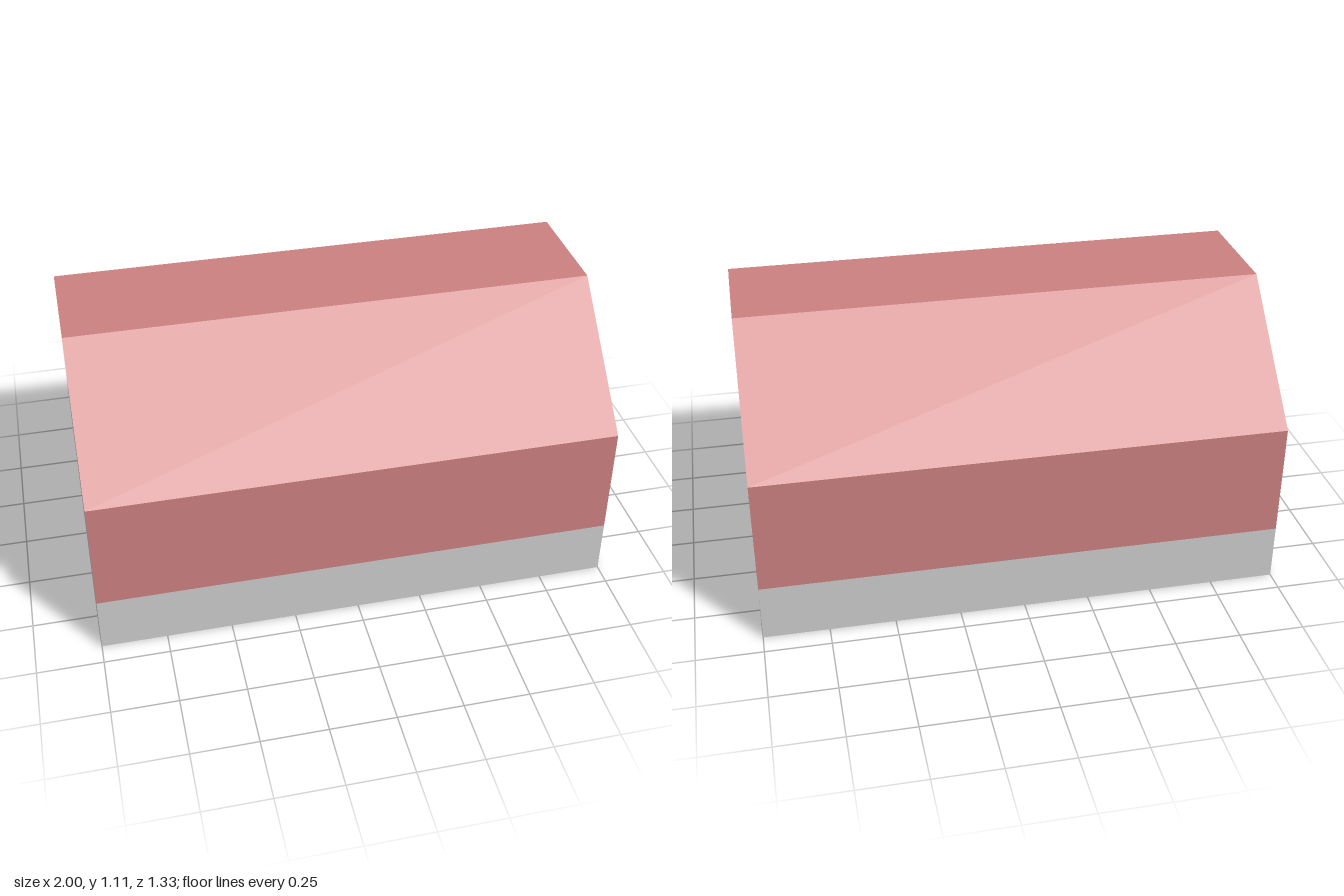
import * as THREE from 'three';

const WIDTH = 2, DEPTH = 1.333, UNIT = 0.2222, WALL = 0.111;

const grey = new THREE.MeshStandardMaterial({ color: 0xcccccc });
const red = new THREE.MeshStandardMaterial({ color: 0xcc8080 });

function part(name, geometry, material) {
  const mesh = new THREE.Mesh(geometry, material);
  mesh.name = name;
  return mesh;
}

// Adds a centred rectangle to a shape or hole path
function rect(path, w, d) {
  path.moveTo(-w / 2, -d / 2);
  path.lineTo(w / 2, -d / 2);
  path.lineTo(w / 2, d / 2);
  path.lineTo(-w / 2, d / 2);
  path.closePath();
  return path;
}

export function createModel() {
  const model = new THREE.Group();
  model.name = 'slopedBlock';

  // Base: open rim below a solid slab
  const base = new THREE.Group();
  base.name = 'base';
  const outline = rect(new THREE.Shape(), WIDTH, DEPTH);
  outline.holes.push(rect(new THREE.Path(), WIDTH - 2 * WALL, DEPTH - 2 * WALL));
  const rimGeometry = new THREE.ExtrudeGeometry(outline, { depth: WALL, bevelEnabled: false });
  rimGeometry.rotateX(-Math.PI / 2);
  base.add(part('rim', rimGeometry, grey));

  const slabGeometry = new THREE.BoxGeometry(WIDTH, UNIT - WALL, DEPTH);
  slabGeometry.translate(0, (UNIT + WALL) / 2, 0);
  base.add(part('slab', slabGeometry, grey));

  // Two round pegs in the underside recess
  for (const side of [-1, 1]) {
    const peg = part(side > 0 ? 'leftPeg' : 'rightPeg',
      new THREE.CylinderGeometry(0.234, 0.234, WALL, 48), grey);
    peg.position.set(side * 0.333, WALL / 2, 0);
    base.add(peg);
  }
  model.add(base);

  // Body: straight walls, two 45 degree slopes and a flat ridge, extruded along x
  const profile = new THREE.Shape([
    [-3, 1], [3, 1], [3, 3], [1, 5], [-1, 5], [-3, 3],
  ].map(([z, y]) => new THREE.Vector2(z * UNIT, y * UNIT)));
  const bodyGeometry = new THREE.ExtrudeGeometry(profile, { depth: WIDTH, bevelEnabled: false });
  bodyGeometry.translate(0, 0, -WIDTH / 2);
  bodyGeometry.rotateY(Math.PI / 2);
  model.add(part('slopedBody', bodyGeometry, red));

  return model;
}
